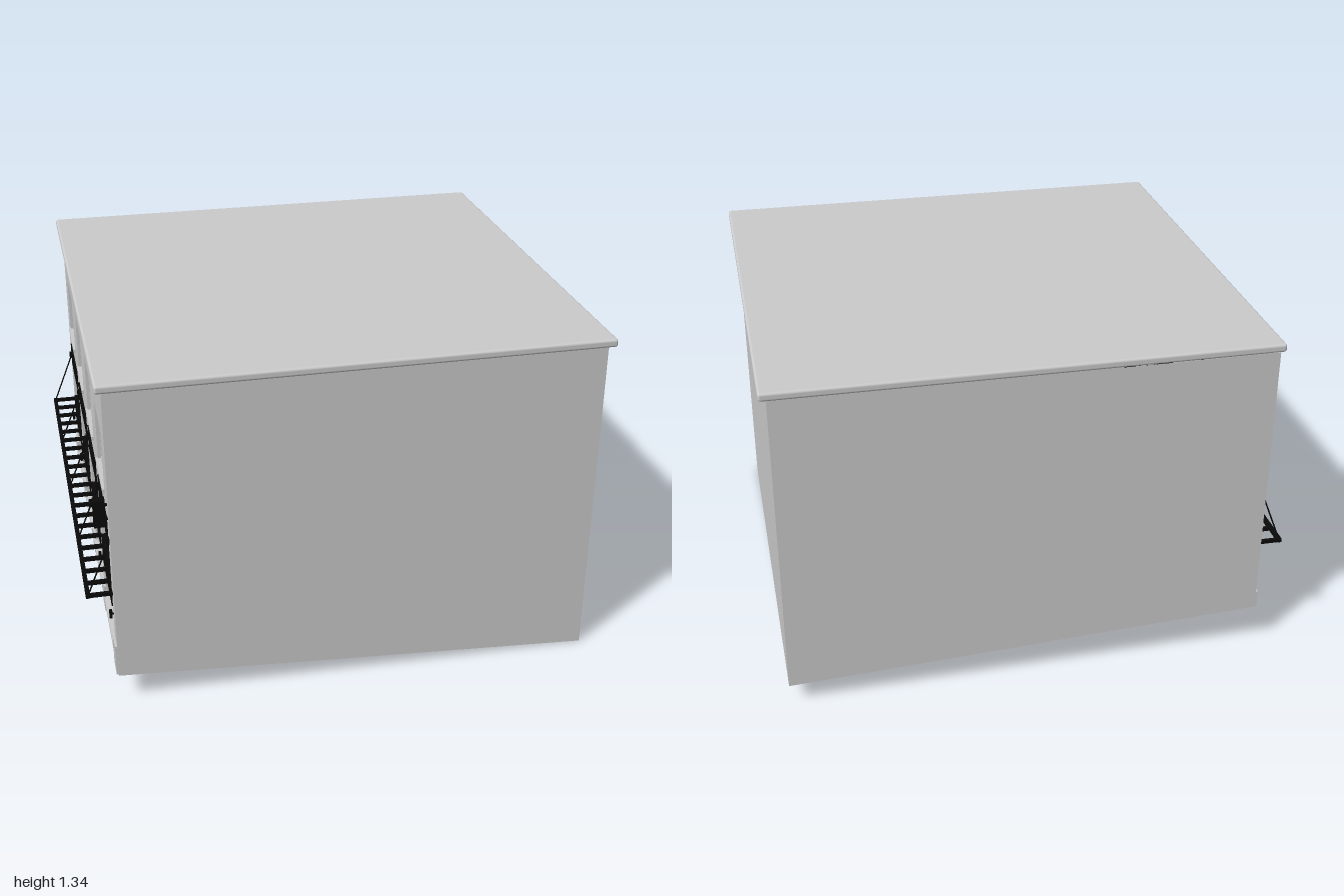
import * as THREE from 'three';
import { RoundedBoxGeometry } from 'three/addons/geometries/RoundedBoxGeometry.js';

const grey = new THREE.MeshStandardMaterial({ color: 0xcccccc, side: THREE.DoubleSide });
const black = new THREE.MeshStandardMaterial({ color: 0x0a0a0a });

// Building shell limits; the street face looks towards -x
const X0 = -0.9, X1 = 0.97, Z0 = -0.92, Z1 = 0.9, TOP = 1.31;
const BAYS = [-0.66, -0.225, 0.21, 0.645];
const PIERS = [-0.88, -0.445, -0.01, 0.425, 0.85];
const BAY_W = 0.34, WIN_W = 0.24;

function add(parent, name, geometry, material) {
  const mesh = new THREE.Mesh(geometry, material);
  mesh.name = name;
  parent.add(mesh);
  return mesh;
}

// Box given by its limits on each axis
function box(parent, name, [xa, xb], [ya, yb], [za, zb], material = grey) {
  const mesh = add(parent, name, new THREE.BoxGeometry(xb - xa, yb - ya, zb - za), material);
  mesh.position.set((xa + xb) / 2, (ya + yb) / 2, (za + zb) / 2);
  return mesh;
}

// Round bar between two points
function rod(parent, name, a, b, r, material = black) {
  const p = new THREE.Vector3(...a), q = new THREE.Vector3(...b);
  const mesh = add(parent, name, new THREE.CylinderGeometry(r, r, p.distanceTo(q), 8), material);
  mesh.position.copy(p).add(q).multiplyScalar(0.5);
  mesh.quaternion.setFromUnitVectors(new THREE.Vector3(0, 1, 0), q.sub(p).normalize());
  return mesh;
}

// Flat wall with a sloping foot
function wall(parent, name, [xa, za, ya], [xb, zb, yb]) {
  const g = new THREE.BufferGeometry();
  g.setAttribute('position', new THREE.Float32BufferAttribute(
    [xa, ya, za, xb, yb, zb, xb, TOP, zb, xa, TOP, za], 3));
  g.setIndex([0, 1, 2, 0, 2, 3]);
  g.computeVertexNormals();
  add(parent, name, g, grey);
}

function rectHole(z, w, ya, yb) {
  const p = new THREE.Path();
  p.moveTo(z - w / 2, ya);
  p.lineTo(z - w / 2, yb);
  p.lineTo(z + w / 2, yb);
  p.lineTo(z + w / 2, ya);
  p.closePath();
  return p;
}

// Four bars around an opening
function frame(parent, name, z, w, ya, yb, t, x, material) {
  const a = z - w / 2, b = z + w / 2;
  box(parent, name, x, [ya, yb], [a, a + t], material);
  box(parent, name, x, [ya, yb], [b - t, b], material);
  box(parent, name, x, [ya, ya + t], [a + t, b - t], material);
  box(parent, name, x, [yb - t, yb], [a + t, b - t], material);
}

function upperWindow(z) {
  const g = new THREE.Group();
  g.name = 'upperWindow';
  const ya = 0.86, yb = 1.1, a = z - WIN_W / 2, b = z + WIN_W / 2;
  box(g, 'pane', [-0.874, -0.87], [ya, yb], [a, b]);
  frame(g, 'windowFrame', z, WIN_W, ya, yb, 0.016, [-0.888, -0.868], grey);
  box(g, 'mullion', [-0.884, -0.866], [ya, yb], [z - 0.005, z + 0.005], black);
  box(g, 'transom', [-0.884, -0.866], [1.02, 1.03], [a, b], black);
  box(g, 'windowSill', [-0.908, -0.88], [ya - 0.016, ya], [a - 0.01, b + 0.01]);
  return g;
}

function shopBay(z, isDoor) {
  const g = new THREE.Group();
  g.name = isDoor ? 'doorBay' : 'shopWindowBay';
  const a = z - BAY_W / 2, b = z + BAY_W / 2, foot = 0.2;
  box(g, 'shopPane', [-0.874, -0.87], [foot, 0.77], [a, b]);
  // Dark bands above and below the transom lights
  box(g, 'upperFascia', [-0.904, -0.862], [0.665, 0.765], [a, b], black);
  box(g, 'lowerFascia', [-0.904, -0.862], [0.38, 0.5], [a, b], black);
  for (let i = 0; i <= 3; i++) {
    const m = a + 0.006 + (i / 3) * (BAY_W - 0.012);
    box(g, 'transomMullion', [-0.888, -0.866], [0.5, 0.665], [m - 0.005, m + 0.005], black);
  }
  if (isDoor) {
    // Double door flanked by a fixed light
    for (const s of [-0.11, 0, 0.11])
      frame(g, 'doorLeaf', z + s, 0.1, foot, 0.38, 0.012, [-0.89, -0.864], black);
    box(g, 'threshold', [-0.908, -0.85], [foot - 0.02, foot], [a, b]);
  } else {
    frame(g, 'shopFrame', z, BAY_W, foot, 0.38, 0.018, [-0.892, -0.862], grey);
    box(g, 'shopSill', [-0.91, -0.845], [foot - 0.005, foot + 0.018], [a - 0.008, b + 0.008]);
  }
  return g;
}

export function createModel() {
  const model = new THREE.Group();

  // Plain walls, open underneath
  wall(model, 'frontWall', [X0, Z1, 0.12], [X1, Z1, 0]);
  wall(model, 'sideWall', [X1, Z1, 0], [X1, Z0, 0.085]);
  wall(model, 'backWall', [X1, Z0, 0.085], [X0, Z0, 0.178]);

  // Street face with window and shop openings
  const face = new THREE.Shape();
  face.moveTo(Z0, 0.178);
  face.lineTo(Z1, 0.12);
  face.lineTo(Z1, TOP);
  face.lineTo(Z0, TOP);
  face.closePath();
  for (const z of BAYS)
    face.holes.push(rectHole(z, WIN_W, 0.86, 1.1), rectHole(z, BAY_W, 0.2, 0.77));
  const faceGeo = new THREE.ExtrudeGeometry(face, { depth: 0.03, bevelEnabled: false });
  faceGeo.rotateY(-Math.PI / 2).translate(X0 + 0.03, 0, 0);
  add(model, 'streetWall', faceGeo, grey);

  // Flat roof slab with rounded overhanging edge
  const roof = add(model, 'roofSlab', new RoundedBoxGeometry(1.922, 0.032, 1.84, 3, 0.01), grey);
  roof.position.set(0.037, 1.324, 0);

  BAYS.forEach((z, i) => model.add(upperWindow(z), shopBay(z, i === 0)));

  // Pier feet, tie rods, wall anchors and small lamps
  for (const z of PIERS) {
    const lo = Math.max(z - 0.045, Z0), hi = Math.min(z + 0.045, Z1);
    box(model, 'pierFoot', [-0.908, -0.89], [0.15 - 0.032 * z, 0.25], [lo, hi]);
    rod(model, 'tieRod', [-0.99, 0.465, z], [-0.9, 0.69, z], 0.003);
    box(model, 'rodAnchor', [-0.91, -0.895], [0.675, 0.7], [z - 0.01, z + 0.01], black);
    rod(model, 'lampArm', [-0.915, 0.37, z], [-0.895, 0.37, z], 0.004);
    rod(model, 'lamp', [-0.912, 0.352, z], [-0.912, 0.388, z], 0.006);
  }

  // Ladder-like canopy rail
  const canopy = new THREE.Group();
  canopy.name = 'canopy';
  box(canopy, 'outerRail', [-1, -0.984], [0.452, 0.468], [-0.888, 0.856], black);
  for (let i = 0; i <= 20; i++) {
    const z = -0.88 + i * 0.0864;
    box(canopy, 'rung', [-0.986, -0.895], [0.453, 0.467], [z - 0.007, z + 0.007], black);
  }
  model.add(canopy);

  // Blank box sign on two brackets
  box(model, 'boxSign', [-0.952, -0.908], [0.757, 0.866], [0.835, 0.87], black);
  for (const y of [0.783, 0.84])
    rod(model, 'signBracket', [-0.91, y, 0.852], [-0.865, y, 0.852], 0.006);

  return model;
}
